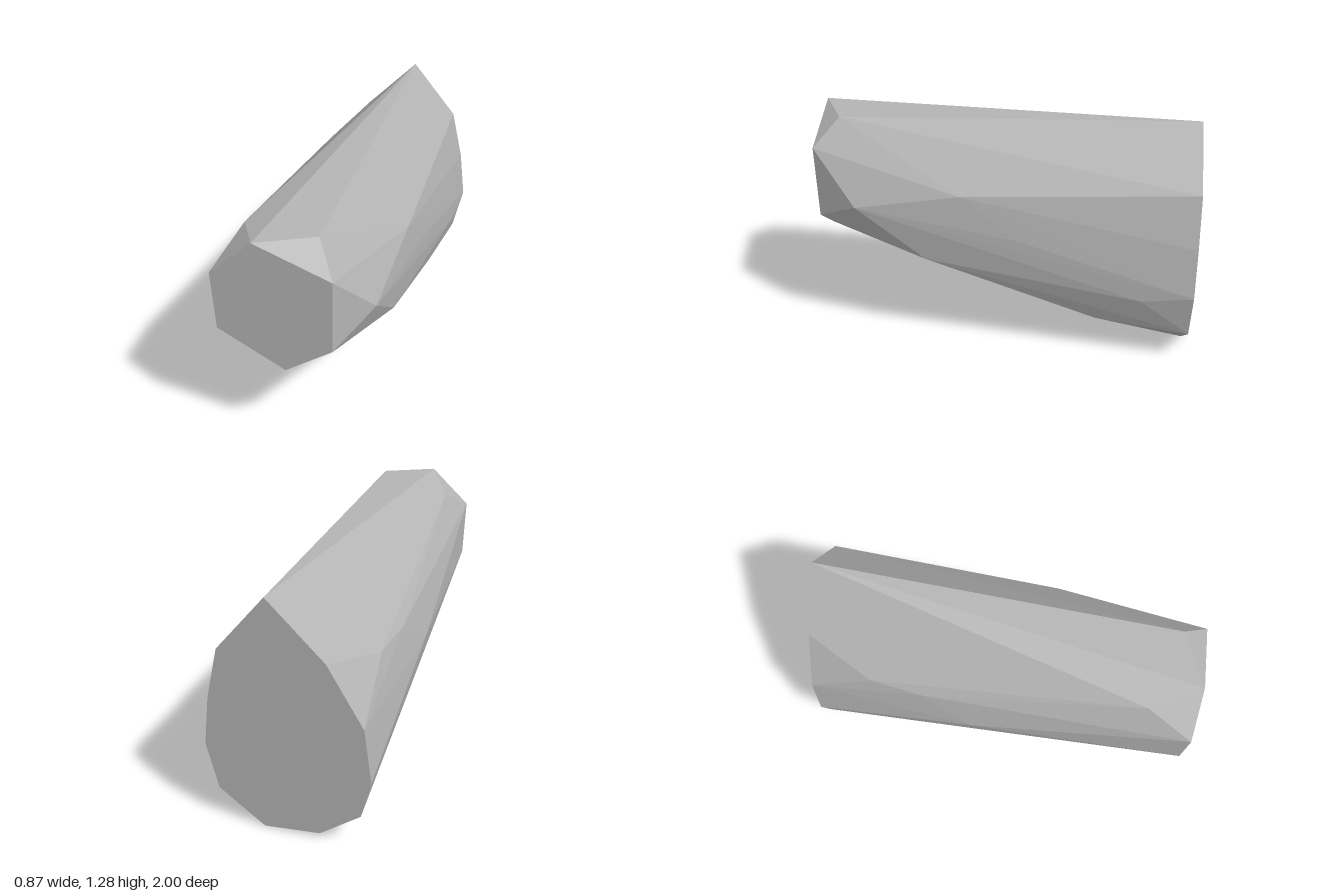
import * as THREE from 'three';
import { ConvexGeometry } from 'three/addons/geometries/ConvexGeometry.js';

export function createModel() {
  const model = new THREE.Group();
  const stone = new THREE.MeshStandardMaterial({ color: 0xb4b4b4 });
  stone.name = 'stone grey';

  // Small flat end: [x, y] corners at z = 1
  const frontEnd = [
    [-0.405, 1.05], [-0.19, 1.25], [0.177, 1.11],
    [0.17, 0.715], [-0.065, 0.545], [-0.397, 0.73],
  ];
  // Large flat end: [x, y] corners at z = -1
  const backEnd = [
    [0.08, 1.283], [0.33, 0.985], [0.395, 0.71], [0.43, 0.44], [0.375, 0.183], [0.14, 0],
    [-0.15, 0.03], [-0.36, 0.19], [-0.41, 0.4], [-0.375, 0.69], [-0.198, 1.0],
  ];
  // Chipped corners along the flanks, top and underside
  const chips = [
    [0.08, 1.25, 0.87], [-0.32, 1.185, 0.76],
    [0.315, 0.84, 0.77], [0.335, 0.935, 0.22], [0.315, 0.55, 0.41], [0.37, 0.71, -0.08],
    [0.32, 0.225, -0.5], [0.41, 0.4, -0.73], [0.34, 0.195, -0.75],
    [-0.08, 0.21, -0.15], [-0.33, 0.56, 0.41], [-0.335, 0.23, -0.5],
    [-0.435, 0.71, -0.1], [-0.35, 0.9, -0.65], [-0.38, 0.9, -0.37],
  ];
  const points = [
    ...frontEnd.map(([x, y]) => new THREE.Vector3(x, y, 1)),
    ...backEnd.map(([x, y]) => new THREE.Vector3(x, y, -1)),
    ...chips.map((p) => new THREE.Vector3(...p)),
  ];

  // Faceted tapering block
  const rock = new THREE.Mesh(new ConvexGeometry(points), stone);
  rock.name = 'rock';
  model.add(rock);
  return model;
}
